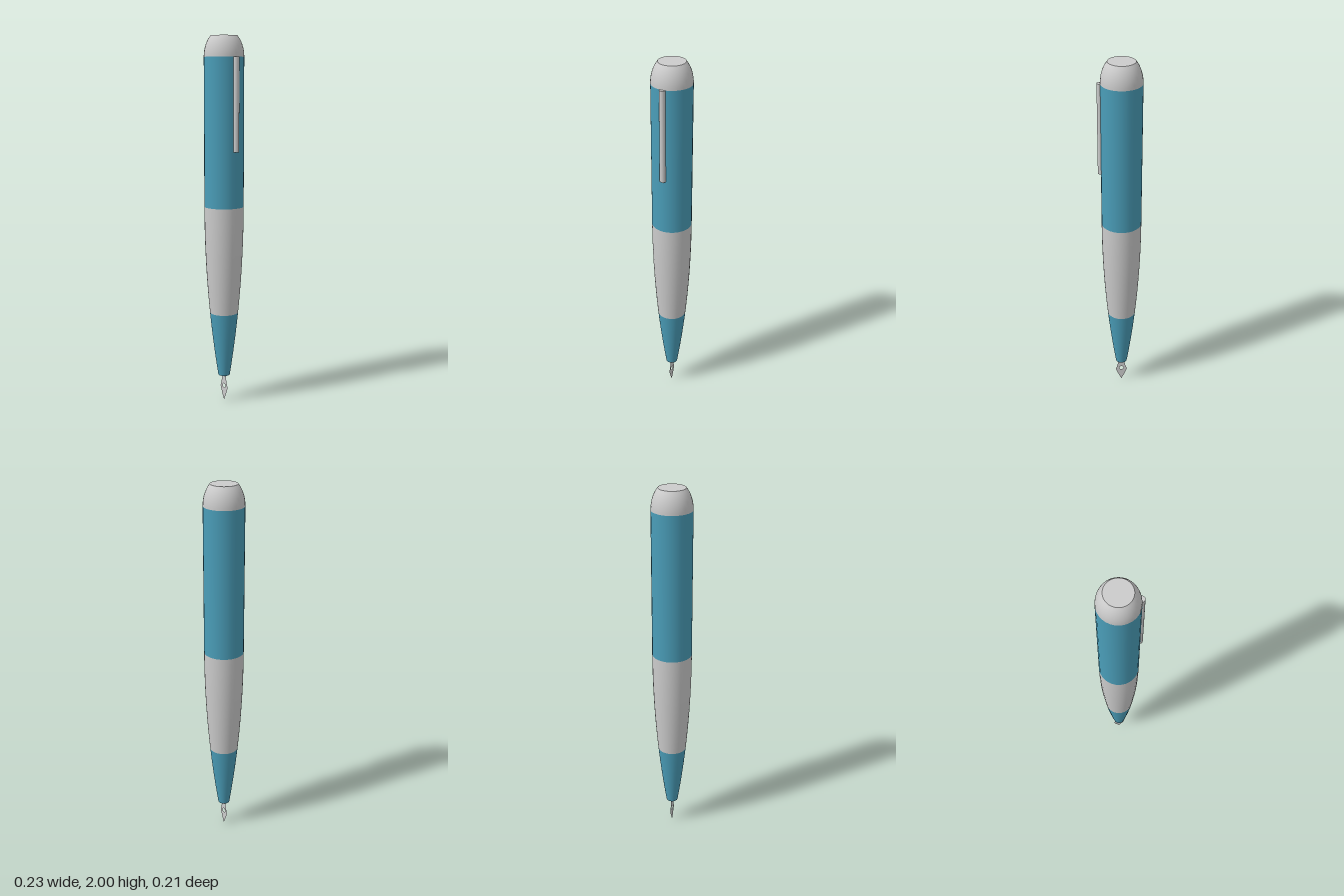
import * as THREE from 'three';

const AXIS = -0.008; // the barrel sits slightly off centre because of the clip
const R = 0.106;
const SIDES = 32;

export function createModel() {
  const pen = new THREE.Group();
  pen.name = 'fountainPen';
  const grey = new THREE.MeshStandardMaterial({ color: 0xcccccc });
  const blue = new THREE.MeshStandardMaterial({ color: 0x4a9db8 });
  const sheet = new THREE.MeshStandardMaterial({ color: 0xcccccc, side: THREE.DoubleSide });

  const add = (name, geometry, material, x = AXIS, y = 0) => {
    const mesh = new THREE.Mesh(geometry, material);
    mesh.name = name;
    mesh.position.set(x, y, 0);
    pen.add(mesh);
    return mesh;
  };

  // Turned section between two heights, following a radius rule
  const turned = (name, y0, y1, radius, steps, material) => {
    const points = [];
    for (let i = 0; i <= steps; i++) {
      const y = y0 + ((y1 - y0) * i) / steps;
      points.push(new THREE.Vector2(radius(y), y));
    }
    return add(name, new THREE.LatheGeometry(points, SIDES), material);
  };

  const taper = (y) => R - 0.082 * (1.1 - y) ** 2;
  const dome = (y) => R * Math.sqrt(1 - ((y - 1.89) / 0.147) ** 2);

  turned('gripSection', 0.15, 0.51, taper, 8, blue);
  turned('lowerBarrel', 0.51, 1.1, taper, 12, grey);
  turned('capBarrel', 1.1, 1.89, () => R, 1, blue);
  turned('capDome', 1.89, 2, dome, 10, grey);

  // Flat ends
  add('capTop', new THREE.CircleGeometry(dome(2), SIDES), grey, AXIS, 2).rotation.x = -Math.PI / 2;
  add('gripEnd', new THREE.CircleGeometry(taper(0.15), SIDES), grey, AXIS, 0.15).rotation.x = Math.PI / 2;

  // Round clip rod half sunk into the cap
  add('clip', new THREE.CylinderGeometry(0.016, 0.016, 0.49, 20), grey, 0.098, 1.645);

  // Thin nib with a breather hole
  const nib = new THREE.Shape();
  nib.moveTo(0, 0);
  nib.quadraticCurveTo(0.021, 0.04, 0.033, 0.076);
  nib.quadraticCurveTo(0.018, 0.11, 0.015, 0.16);
  nib.lineTo(-0.015, 0.16);
  nib.quadraticCurveTo(-0.018, 0.11, -0.033, 0.076);
  nib.quadraticCurveTo(-0.021, 0.04, 0, 0);
  const hole = new THREE.Path();
  hole.absarc(0, 0.083, 0.012, 0, Math.PI * 2, true);
  nib.holes.push(hole);
  add('nib', new THREE.ShapeGeometry(nib, 10), sheet);

  return pen;
}
